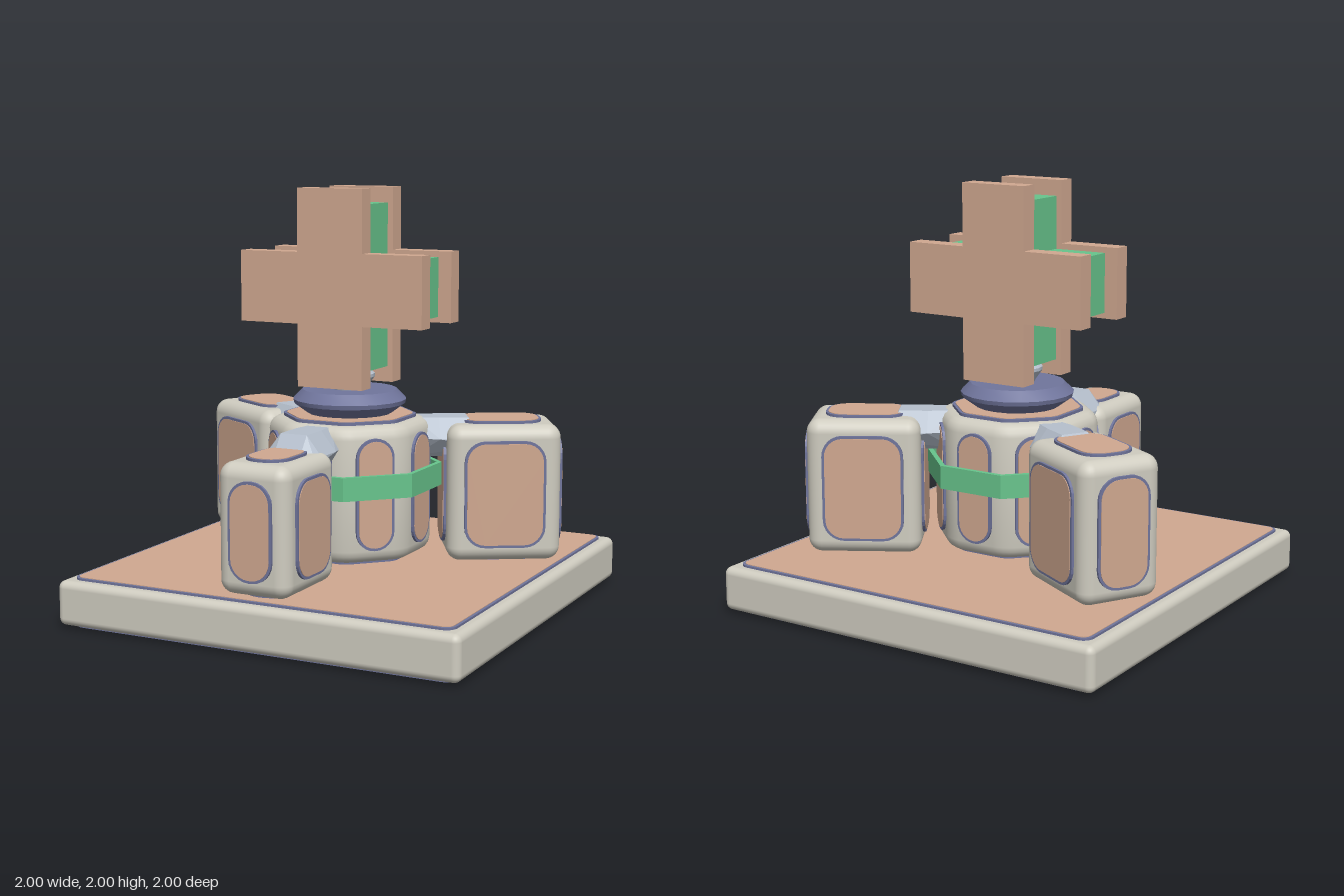
import * as THREE from 'three';
import { toCreasedNormals } from 'three/addons/utils/BufferGeometryUtils.js';
import { RoundedBoxGeometry } from 'three/addons/geometries/RoundedBoxGeometry.js';
import { ConvexGeometry } from 'three/addons/geometries/ConvexGeometry.js';

const material = (name, color) => {
  const m = new THREE.MeshStandardMaterial({ color });
  m.name = name;
  return m;
};

export function createModel() {
  const cream = material('cream shell', 0xcfccc0);
  const tan = material('tan panel', 0xd0a890);
  const slate = material('slate trim', 0x70759c);
  const green = material('green', 0x68c48c);
  const steel = material('pale steel', 0xb6c0cd);
  const model = new THREE.Group();
  model.name = 'crossMonument';

  const add = (parent, name, geometry, mat) => {
    const mesh = new THREE.Mesh(geometry, mat);
    mesh.name = name;
    parent.add(mesh);
    return mesh;
  };

  // Outline with rounded corners through a list of [x, y] corners
  const roundedOutline = (corners, cut) => {
    const shape = new THREE.Shape();
    corners.forEach(([x, y], i) => {
      const n = corners.length;
      const toward = ([px, py]) => {
        const t = cut / Math.hypot(px - x, py - y);
        return [x + (px - x) * t, y + (py - y) * t];
      };
      const a = toward(corners[(i + n - 1) % n]);
      const b = toward(corners[(i + 1) % n]);
      if (i === 0) shape.moveTo(...a); else shape.lineTo(...a);
      // Cubic handles make a 90 degree corner a near-true arc
      const k = 0.55;
      shape.bezierCurveTo(
        a[0] + (x - a[0]) * k, a[1] + (y - a[1]) * k,
        b[0] + (x - b[0]) * k, b[1] + (y - b[1]) * k, ...b);
    });
    shape.closePath();
    return shape;
  };
  const rect = (w, h, r) => roundedOutline(
    [[-w / 2, -h / 2], [w / 2, -h / 2], [w / 2, h / 2], [-w / 2, h / 2]], r);
  const octagonCorners = (apothem) => Array.from({ length: 8 }, (_, i) => {
    const a = (i + 0.5) * Math.PI / 4, r = apothem / Math.cos(Math.PI / 8);
    return [r * Math.cos(a), r * Math.sin(a)];
  });
  const extrude = (shape, depth) => new THREE.ExtrudeGeometry(
    shape, { depth, bevelEnabled: false, curveSegments: 6 });

  // Slate rim with a thin tan plate; local +z points away from the surface
  const addPanel = (parent, name, rim, face, position, rx = 0, ry = 0) => {
    const panel = new THREE.Group();
    panel.name = name;
    panel.position.set(...position);
    panel.rotation.set(rx, ry, 0);
    add(panel, name + 'Rim', extrude(rim, 0.022), slate).position.z = -0.01;
    add(panel, name + 'Face', extrude(face, 0.006), tan).position.z = 0.009;
    parent.add(panel);
  };
  const addRectPanel = (parent, name, w, h, r, ...place) =>
    addPanel(parent, name, rect(w + 0.025, h + 0.025, r + 0.012), rect(w, h, r), ...place);

  // Base slab with panels above and below
  add(model, 'baseSlab', new RoundedBoxGeometry(2, 0.21, 2, 4, 0.035), cream).position.y = 0.12;
  addRectPanel(model, 'baseTopPanel', 1.87, 1.87, 0.04, [0, 0.223, 0], -Math.PI / 2);
  addRectPanel(model, 'baseBottomPanel', 1.87, 1.87, 0.04, [0, 0.015, 0], Math.PI / 2);

  // Octagonal hub with softened edges
  const hub = new THREE.Group();
  hub.name = 'hub';
  model.add(hub);
  const bevel = 0.06, hubApothem = 0.365;
  const hubBody = new THREE.ExtrudeGeometry(
    roundedOutline(octagonCorners(hubApothem - bevel), 0.035),
    { depth: 0.64 - 2 * bevel, bevelSize: bevel, bevelThickness: bevel, bevelSegments: 4, curveSegments: 4 });
  hubBody.rotateX(-Math.PI / 2).translate(0, 0.28 + bevel, 0);
  add(hub, 'hubBody', toCreasedNormals(hubBody, 0.6), cream);
  for (let i = 0; i < 8; i++) {
    const a = i * Math.PI / 4;
    addRectPanel(hub, 'hubSidePanel', 0.16, 0.5, 0.078,
      [hubApothem * Math.sin(a), 0.605, hubApothem * Math.cos(a)], 0, a);
  }
  const octagon = (apothem) => roundedOutline(octagonCorners(apothem), 0.03);
  addPanel(hub, 'hubTopPanel', octagon(0.297), octagon(0.283), [0, 0.922, 0], -Math.PI / 2);
  addPanel(hub, 'hubBottomPanel', octagon(0.297), octagon(0.283), [0, 0.28, 0], Math.PI / 2);

  // Green octagonal belt
  const beltShape = new THREE.Shape(octagonCorners(0.405).map((p) => new THREE.Vector2(...p)));
  beltShape.holes.push(new THREE.Path(octagonCorners(0.382).map((p) => new THREE.Vector2(...p))));
  add(hub, 'belt', extrude(beltShape, 0.11).rotateX(-Math.PI / 2).translate(0, 0.59, 0), green);

  // Turned collar and post under the cross
  const lathe = (points, sides) => toCreasedNormals(new THREE.LatheGeometry(
    points.map((p) => new THREE.Vector2(...p)), sides), 0.5);
  add(model, 'collar', lathe(
    [[0, 0.925], [0.19, 0.93], [0.265, 0.985], [0.27, 1.005], [0.225, 1.05], [0, 1.05]], 20), slate);
  add(model, 'post', lathe(
    [[0.08, 1.04], [0.085, 1.06], [0.12, 1.11], [0.12, 1.125], [0.08, 1.155], [0, 1.155]], 16), steel);

  // Cross: green core between two tan plates
  const crossShape = (halfX, halfY, armX, armY) => new THREE.Shape([
    [armX, -halfY], [armX, -armY], [halfX, -armY], [halfX, armY], [armX, armY], [armX, halfY],
    [-armX, halfY], [-armX, armY], [-halfX, armY], [-halfX, -armY], [-armX, -armY], [-armX, -halfY],
  ].map((p) => new THREE.Vector2(...p)));
  const cross = new THREE.Group();
  cross.name = 'cross';
  cross.position.y = 1.5375;
  model.add(cross);
  add(cross, 'crossCore', extrude(crossShape(0.402, 0.388, 0.14, 0.14), 0.24), green).position.z = -0.12;
  for (const z of [0.12, -0.21]) {
    add(cross, 'crossPlate', extrude(crossShape(0.4675, 0.4625, 0.167, 0.167), 0.09), tan).position.z = z;
  }

  // Hexagonal elbow joining the hub to a pod, along local +z
  const elbowRings = [[0.3, 0.11, 0.915], [0.42, 0.14, 0.915], [0.56, 0.14, 0.915], [0.608, 0.14, 0.85]];
  const elbowPoints = elbowRings.flatMap(([z, w, top]) => {
    const bottom = 0.73, mid = (top + bottom) / 2;
    return [-1, 1].flatMap((s) => [
      new THREE.Vector3(s * w, mid, z),
      new THREE.Vector3(s * w * 0.47, top, z),
      new THREE.Vector3(s * w * 0.47, bottom, z),
    ]);
  });
  const elbowGeometry = new ConvexGeometry(elbowPoints);

  // Three pods around the hub, the rear two larger
  const addPod = (name, angle, w, h, d, y) => {
    const arm = new THREE.Group();
    arm.name = name;
    arm.rotation.y = angle;
    model.add(arm);
    add(arm, 'elbow', elbowGeometry, steel);
    const pod = new THREE.Group();
    pod.name = 'pod';
    pod.position.set(0, y, 0.72);
    arm.add(pod);
    add(pod, 'podBody', new RoundedBoxGeometry(w, h, d, 4, 0.065), cream);
    const pw = w - 0.165, ph = h - 0.165, pd = d - 0.18, r = 0.088;
    for (const s of [1, -1]) {
      addRectPanel(pod, 'podEndPanel', pw, ph, r, [0, 0, s * d / 2], 0, s > 0 ? 0 : Math.PI);
      addRectPanel(pod, 'podSidePanel', pd, ph, r, [s * w / 2, 0, 0], 0, s * Math.PI / 2);
      addRectPanel(pod, 'podCapPanel', pw, pd, r, [0, s * h / 2, 0], -s * Math.PI / 2);
    }
  };
  addPod('frontPod', 0, 0.355, 0.59, 0.47, 0.545);
  addPod('leftRearPod', Math.PI * 2 / 3, 0.4, 0.65, 0.54, 0.567);
  addPod('rightRearPod', -Math.PI * 2 / 3, 0.4, 0.65, 0.54, 0.567);

  return model;
}
